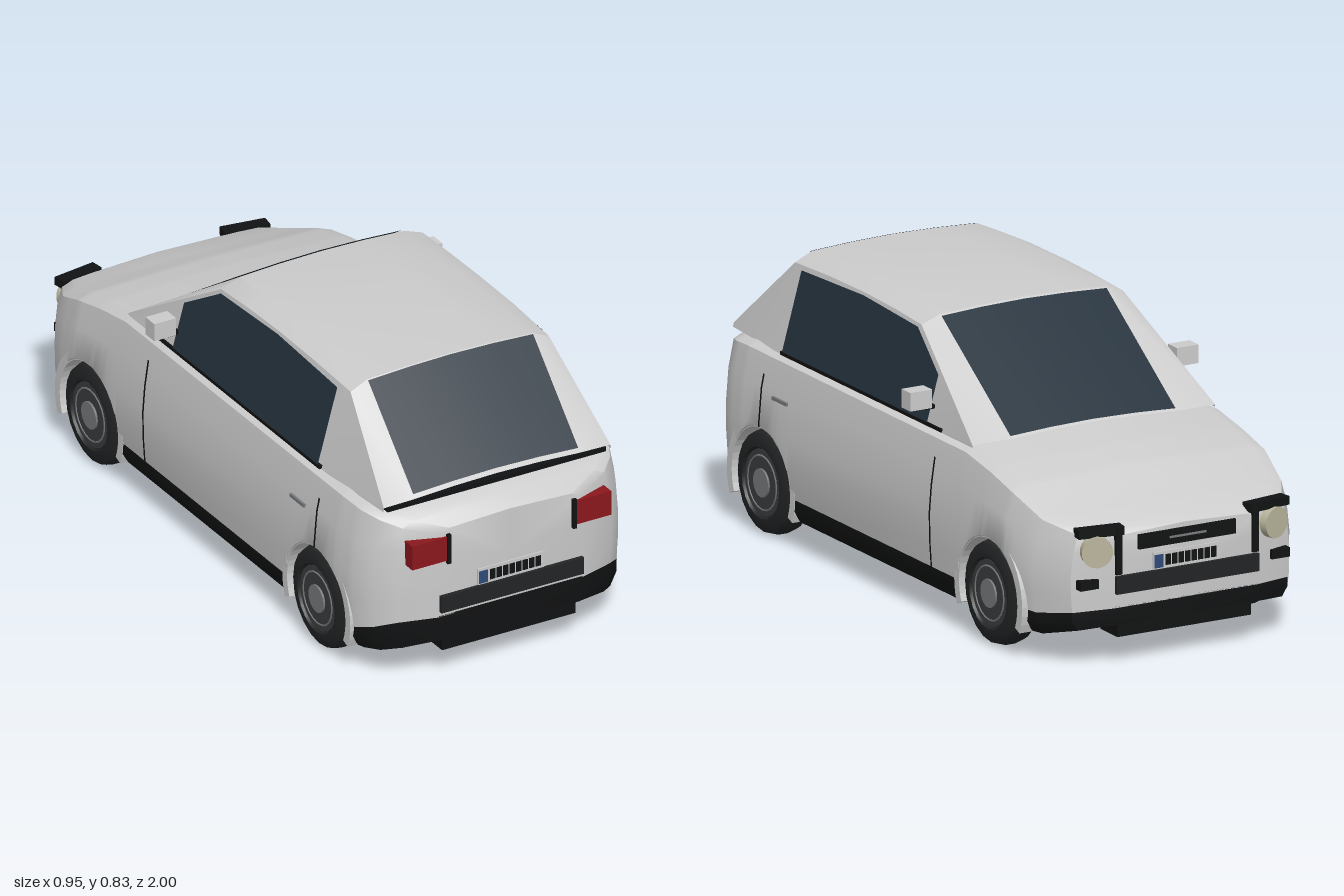
import * as THREE from 'three';
import { toCreasedNormals } from 'three/addons/utils/BufferGeometryUtils.js';

const mat = (color) => new THREE.MeshStandardMaterial({ color, side: THREE.DoubleSide });
const M = {
  paint: mat(0xcccccc), black: mat(0x111213), trim: mat(0x222425), glass: mat(0x24313c),
  red: mat(0x8a171d), lamp: mat(0xb9b59c), rim: mat(0x3b3d40), hub: mat(0x777a7d), blue: mat(0x2f4a78),
};
const WHEELS = [-0.625, 0.645], AXLE_Y = 0.153, ARCH = 0.165;

// Piecewise linear lookup in rows of [z, a, b, ...]
function at(rows, z) {
  let i = 0;
  while (i < rows.length - 2 && z > rows[i + 1][0]) i++;
  const a = rows[i], b = rows[i + 1];
  const t = THREE.MathUtils.clamp((z - a[0]) / (b[0] - a[0]), 0, 1);
  return a.map((v, k) => v + (b[k] - v) * t);
}

// Skin over rings of equal length that run counter-clockwise seen from +z
function loft(rings, caps, crease = 0.6) {
  const n = rings[0].length, pos = rings.flat(2), idx = [];
  for (let i = 0; i < rings.length - 1; i++) for (let j = 0; j < n - 1; j++) {
    const a = i * n + j, b = a + 1, c = a + n, d = c + 1;
    idx.push(a, b, c, b, d, c);
  }
  if (caps) for (const i of [0, rings.length - 1]) {
    const ys = rings[i].map((p) => p[1]);
    pos.push(0, (Math.min(...ys) + Math.max(...ys)) / 2, rings[i][0][2]);
    const m = pos.length / 3 - 1;
    for (let j = 0; j < n; j++) {
      const a = i * n + j, b = i * n + (j + 1) % n;
      idx.push(m, ...(i ? [a, b] : [b, a]));
    }
  }
  const g = new THREE.BufferGeometry();
  g.setAttribute('position', new THREE.Float32BufferAttribute(pos, 3));
  g.setIndex(idx);
  return toCreasedNormals(g, crease);
}
const mirrorX = (pts) => pts.map(([x, y, z]) => [-x, y, z]).reverse();

// z, half width, top height, lower edge of paint, floor height
const BODY = [
  [-0.985, 0.24, 0.385, 0.17, 0.12], [-0.95, 0.36, 0.405, 0.165, 0.11], [-0.85, 0.42, 0.435, 0.15, 0.085],
  [-0.72, 0.445, 0.49, 0.15, 0.08], [-0.6, 0.445, 0.52, 0.15, 0.08], [-0.46, 0.445, 0.545, 0.15, 0.08],
  [0.75, 0.445, 0.548, 0.15, 0.08], [0.84, 0.435, 0.54, 0.15, 0.08], [0.9, 0.405, 0.525, 0.17, 0.09],
  [0.945, 0.355, 0.505, 0.19, 0.105], [0.985, 0.24, 0.475, 0.195, 0.12],
];
// Side profile: height fraction, width factor
const SIDE = [[0, 0.985], [0.2, 0.997], [0.42, 1], [0.72, 0.978], [0.95, 0.935], [1, 0.84]];

function stations() {
  const zs = BODY.map((r) => r[0]);
  for (const zc of WHEELS) for (let k = 0; k <= 14; k++) zs.push(zc + ARCH * Math.cos(k * Math.PI / 14));
  return [...new Set(zs)].sort((a, b) => a - b);
}
function bodyRing(z) {
  const [, w, top, low] = at(BODY, z);
  let edge = low;
  for (const zc of WHEELS) {
    const d = ARCH * ARCH - (z - zc) ** 2;
    if (d > 0) edge = Math.max(edge, AXLE_Y + Math.sqrt(d));
  }
  const half = SIDE.map(([t, k], i) => [w * k, Math.max(low + (top - low) * t, edge + i * 0.003), z]);
  return [...half, [0, top + 0.008, z], ...mirrorX(half)];
}
function floorRing(z, narrow) {
  const [, w, , low, floor] = at(BODY, z);
  const x = narrow ? 0.335 : w * 0.985;
  const half = [[x * (narrow ? 1 : 0.95), floor, z], [x, (floor + low) / 2, z], [x, low + 0.004, z]];
  return [...mirrorX(half), [0, floor, z], ...half];
}

// z, side top height, roof height, base half width
const CABIN = [
  [-0.47, 0.545, 0.545, 0.4], [-0.07, 0.79, 0.812, 0.4], [0.08, 0.798, 0.822, 0.4], [0.25, 0.802, 0.825, 0.4],
  [0.45, 0.8, 0.823, 0.4], [0.645, 0.79, 0.815, 0.395], [0.91, 0.55, 0.552, 0.375],
];
const pillarX = (y, base = 0.4) => base - 0.068 * (y - 0.545) / 0.245;
function cabinRing([z, side, roof, base]) {
  const half = [[base, 0.538, z], [pillarX(side, base), side, z], [0.272, roof, z], [0.14, roof + 0.007, z]];
  return [...half, [0, roof + 0.01, z], ...mirrorX(half)];
}
function endGlass(z0, z1) {
  return loft([z0, z1].map((z) => {
    const y = at(CABIN, z)[2] + 0.004;
    const half = [[0.272, y, z], [0.14, y + 0.007, z]];
    return [...half, [0, y + 0.01, z], ...mirrorX(half)];
  }));
}

export function createModel() {
  const car = new THREE.Group();
  car.name = 'car';
  const add = (name, geo, m, parent = car) => {
    const mesh = new THREE.Mesh(geo, m);
    mesh.name = name;
    parent.add(mesh);
    return mesh;
  };
  const box = (name, m, x0, x1, y0, y1, z0, z1, parent = car) => {
    const b = add(name, new THREE.BoxGeometry(x1 - x0, y1 - y0, z1 - z0), m, parent);
    b.position.set((x0 + x1) / 2, (y0 + y1) / 2, (z0 + z1) / 2);
    return b;
  };

  // Painted shell, dark floor and sills
  add('bodyShell', loft(stations().map(bodyRing), true), M.paint);
  const cuts = [-0.985, -0.95, -0.85, WHEELS[0] - 0.18, WHEELS[0] + 0.18, WHEELS[1] - 0.18, WHEELS[1] + 0.18,
    0.85, 0.9, 0.945, 0.985].sort((a, b) => a - b);
  const floorRings = [];
  for (const z of cuts) {
    const wheel = WHEELS.find((c) => Math.abs(Math.abs(z - c) - 0.18) < 1e-6);
    if (wheel === undefined) floorRings.push(floorRing(z));
    else floorRings.push(floorRing(z, z > wheel), floorRing(z, z < wheel));
  }
  add('floorAndSills', loft(floorRings, true), M.black);
  box('wheelBay', M.black, -0.335, 0.335, 0.09, 0.36, -0.82, 0.82);

  // Cabin and glass
  add('cabin', loft(CABIN.map(cabinRing), false, 0.45), M.paint);
  add('windscreen', endGlass(-0.465, -0.08), M.glass);
  add('rearWindow', endGlass(0.65, 0.902), M.glass);
  box('rearLip', M.black, -0.36, 0.36, 0.532, 0.546, 0.87, 0.908);

  // Parts repeated on both sides
  for (const s of [1, -1]) {
    const side = new THREE.Group();
    side.name = s > 0 ? 'leftSide' : 'rightSide';
    car.add(side);
    const sbox = (name, m, x0, x1, ...r) => box(name, m, Math.min(s * x0, s * x1), Math.max(s * x0, s * x1), ...r, side);

    const pane = new THREE.ShapeGeometry(new THREE.Shape([[-0.22, 0.548], [0.59, 0.548], [0.59, 0.782], [0.25, 0.795],
      [-0.06, 0.782], [-0.22, 0.685]].map((p) => new THREE.Vector2(...p))));
    const p = pane.attributes.position;
    for (let i = 0; i < p.count; i++) p.setXYZ(i, s * (pillarX(p.getY(i)) + 0.004), p.getY(i), p.getX(i));
    if (s > 0) pane.index.array.reverse();
    pane.computeVertexNormals();
    add('sideWindow', pane, M.glass, side);
    sbox('beltTrim', M.black, 0.39, 0.404, 0.54, 0.55, -0.3, 0.6);

    sbox('mirror', M.paint, 0.403, 0.475, 0.6, 0.655, -0.25, -0.2);
    sbox('mirrorStem', M.black, 0.385, 0.42, 0.592, 0.604, -0.235, -0.212);
    sbox('doorHandle', M.hub, 0.43, 0.443, 0.417, 0.427, 0.5, 0.58);

    // Door seams follow the bulge of the side
    for (const z of [-0.31, 0.645]) {
      const y0 = z > 0 ? 0.32 : 0.15;
      const seam = [0, 1].map((k) => [0, 1, 2, 3, 4].map((i) => {
        const y = y0 + (0.475 - y0) * i / 4;
        const f = at(SIDE, (y - 0.15) / 0.395)[1];
        return [s * (0.445 * f + 0.003), y, z + (k - 0.5) * 0.008];
      }));
      add('doorSeam', loft(seam), M.black, side);
    }

    for (const z of WHEELS) {
      // Arch liner
      const a0 = -0.4, arch = new THREE.Shape();
      arch.absarc(0, 0, 0.19, a0, Math.PI - a0, false);
      arch.absarc(0, 0, 0.163, Math.PI - a0, a0, true);
      const liner = new THREE.ExtrudeGeometry(arch, { depth: 0.107, bevelEnabled: false, curveSegments: 14 });
      liner.rotateY(Math.PI / 2);
      const l = add('wheelArch', liner, M.paint, side);
      l.position.set(s > 0 ? 0.333 : -0.44, AXLE_Y, z);

      // Wheel, turned around its axle
      const wheel = new THREE.Group();
      wheel.name = z < 0 ? 'frontWheel' : 'rearWheel';
      wheel.position.set(s * 0.395, AXLE_Y, z);
      wheel.rotation.z = -s * Math.PI / 2;
      side.add(wheel);
      const tyre = [[0.02, -0.045], [0.125, -0.045], [0.146, -0.035], [0.153, -0.015], [0.153, 0.015], [0.146, 0.035],
        [0.125, 0.046], [0.105, 0.046], [0.1, 0.036], [0, 0.036]].map((q) => new THREE.Vector2(...q));
      add('tyre', toCreasedNormals(new THREE.LatheGeometry(tyre, 20), 0.5), M.trim, wheel);
      const disc = (name, r, h, m) => { add(name, new THREE.CylinderGeometry(r, r, 0.01, 20), m, wheel).position.y = h; };
      disc('rim', 0.098, 0.035, M.rim);
      disc('hubCap', 0.042, 0.041, M.hub);
      const ring = add('rimRing', new THREE.TorusGeometry(0.08, 0.003, 5, 20), M.hub, wheel);
      ring.rotation.x = Math.PI / 2;
      ring.position.y = 0.04;
    }

    // Tail lamps
    sbox('tailLamp', M.red, 0.21, 0.328, 0.375, 0.451, 0.94, 0.992);
    sbox('tailLampTrim', M.black, 0.201, 0.213, 0.365, 0.458, 0.95, 0.996);

    // Headlamps with dark surrounds, and fog lamps
    const lamp = add('headlamp', new THREE.CylinderGeometry(0.046, 0.046, 0.04, 18), M.lamp, side);
    lamp.rotation.set(Math.PI / 2, 0, s * 0.3);
    lamp.position.set(s * 0.29, 0.345, -0.972);
    sbox('headlampTrim', M.black, 0.215, 0.235, 0.27, 0.41, -0.995, -0.95);
    const brow = sbox('headlampBrow', M.black, 0.205, 0.345, 0.387, 0.412, -0.985, -0.945);
    brow.rotation.y = -s * 0.15;
    sbox('fogLamp', M.black, 0.285, 0.345, 0.235, 0.262, -0.982, -0.94);
  }

  // Bumper strips and plates at both ends, and the grille
  for (const e of [1, -1]) {
    const end = new THREE.Group();
    end.name = e > 0 ? 'rearEnd' : 'frontEnd';
    if (e < 0) end.rotation.y = Math.PI;
    car.add(end);
    box('bumperStrip', M.trim, -0.235, 0.235, 0.213, 0.265, 0.95, 0.998, end);
    box('plate', M.paint, -0.11, 0.11, 0.266, 0.317, 0.97, 0.989, end);
    box('plateBand', M.blue, -0.107, -0.078, 0.27, 0.309, 0.98, 0.991, end);
    for (let i = 0; i < 8; i++) box('plateBar', M.black, -0.07 + i * 0.0215, -0.054 + i * 0.0215, 0.275, 0.307, 0.98, 0.991, end);
    box('valance', M.black, -0.22, 0.22, 0.08, 0.18, 0.88, 0.975, end);
  }
  box('grille', M.black, -0.16, 0.16, 0.335, 0.378, -0.994, -0.96);
  box('grilleBar', M.hub, -0.06, 0.06, 0.354, 0.36, -0.997, -0.98);
  return car;
}
